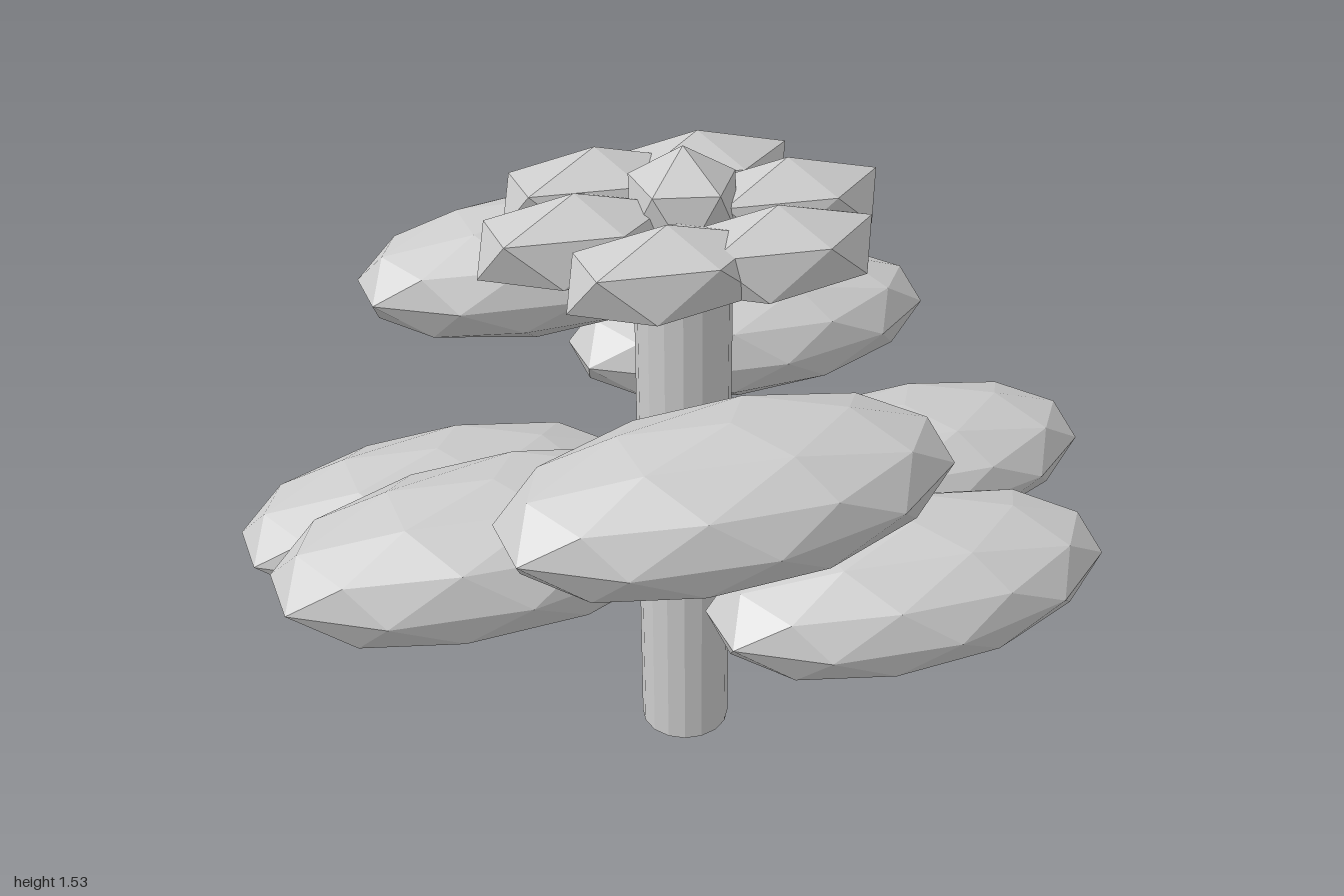
import * as THREE from 'three';

const CX = -0.029; // trunk axis

// Faceted ball with a corner straight up and one upper corner facing +x
function icoBall(detail, rx, ry, rz) {
  const geo = new THREE.IcosahedronGeometry(1, detail);
  geo.rotateZ(-Math.atan(2 / (1 + Math.sqrt(5))));
  geo.scale(rx, ry, rz);
  geo.computeVertexNormals(); // non-indexed, so facets stay flat
  return geo;
}

export function createModel() {
  const model = new THREE.Group();
  model.name = 'tree';
  const grey = new THREE.MeshStandardMaterial({ color: 0xcccccc, flatShading: true });
  grey.name = 'plain grey';

  const add = (parent, name, geo, x, y, z) => {
    const mesh = new THREE.Mesh(geo, grey);
    mesh.name = name;
    mesh.position.set(x, y, z);
    parent.add(mesh);
  };

  // Trunk
  add(model, 'trunk', new THREE.CylinderGeometry(0.107, 0.107, 1.333, 16), CX, 0.6665, 0);

  // Seven foliage pads around the trunk, stepping through three heights
  const foliage = new THREE.Group();
  foliage.name = 'foliage';
  model.add(foliage);
  const padGeo = icoBall(1, 0.48, 0.16, 0.24);
  for (let i = 0; i < 7; i++) {
    const a = (i / 7) * Math.PI * 2;
    add(foliage, `foliagePad${i + 1}`, padGeo,
      CX + 0.572 * Math.cos(a), 0.61 + 0.215 * (i % 3), -0.56 * Math.sin(a));
  }

  // Crown: six small lobes around a central bud
  const crown = new THREE.Group();
  crown.name = 'crown';
  model.add(crown);
  const lobeGeo = icoBall(0, 0.24, 0.107, 0.133);
  for (let i = 0; i < 6; i++) {
    const a = (i / 6) * Math.PI * 2;
    add(crown, `crownLobe${i + 1}`, lobeGeo,
      CX + 0.24 * Math.cos(a), 1.355, -0.243 * Math.sin(a));
  }
  add(crown, 'crownBud', icoBall(0, 0.133, 0.133, 0.133), CX, 1.394, 0);

  return model;
}
